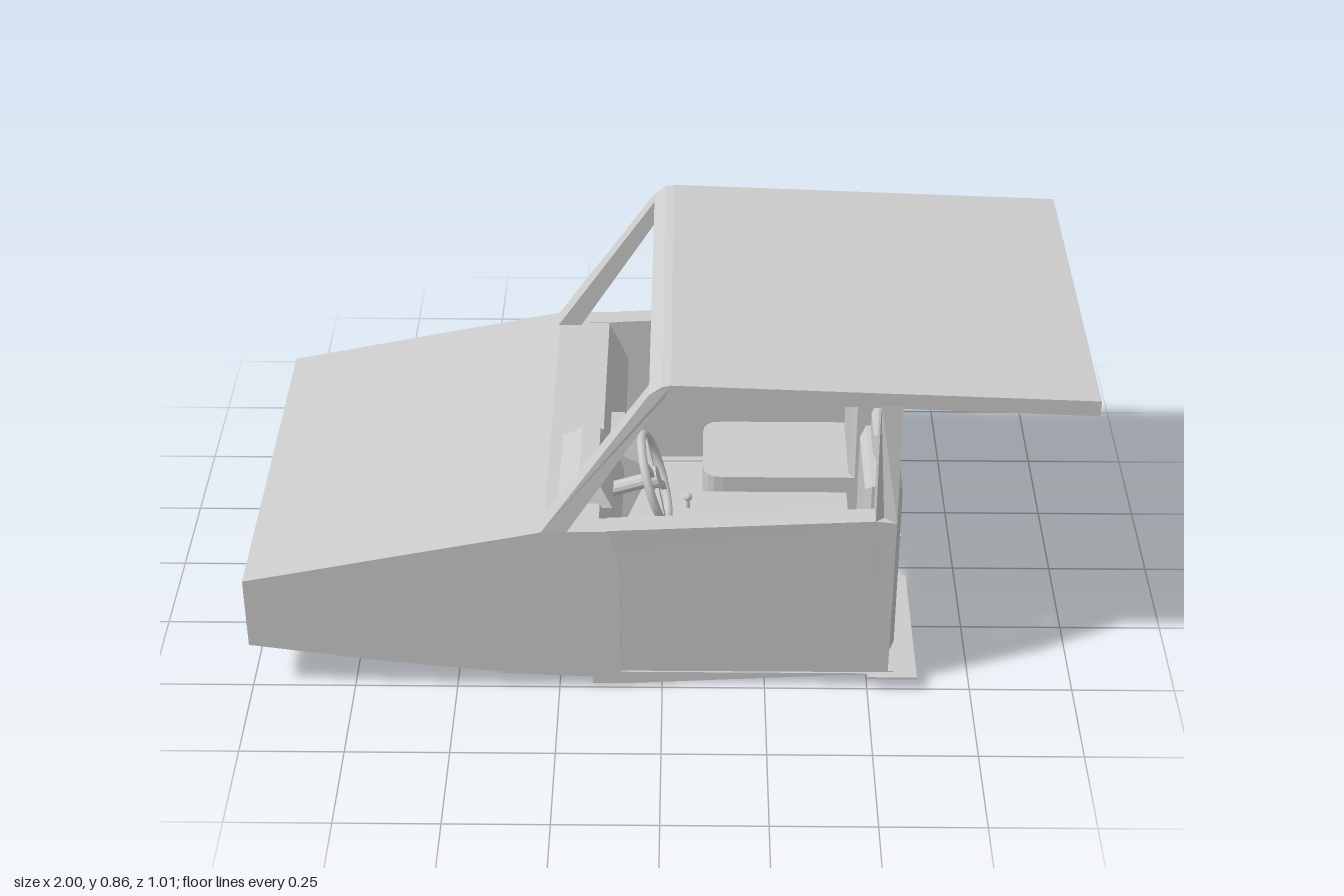
import * as THREE from 'three';

export function createModel() {
  const model = new THREE.Group();
  const mat = new THREE.MeshStandardMaterial({ color: 0xcccccc, flatShading: true, side: THREE.DoubleSide });
  const smooth = new THREE.MeshStandardMaterial({ color: 0xcccccc });

  function add(name, geo, parent = model, m = mat) {
    const mesh = new THREE.Mesh(geo, m);
    mesh.name = name;
    parent.add(mesh);
    return mesh;
  }
  // box given by its minimum and maximum corners
  function box(name, [x0, y0, z0], [x1, y1, z1], parent) {
    const mesh = add(name, new THREE.BoxGeometry(x1 - x0, y1 - y0, z1 - z0), parent);
    mesh.position.set((x0 + x1) / 2, (y0 + y1) / 2, (z0 + z1) / 2);
    return mesh;
  }
  // side profile (x, y) spanning between two z values, which may depend on y
  function prism(name, pts, zMin, zMax, parent) {
    const shape = new THREE.Shape(pts.map(p => new THREE.Vector2(...p)));
    const geo = new THREE.ExtrudeGeometry(shape, { depth: 1, bevelEnabled: false });
    const pos = geo.attributes.position;
    for (let i = 0; i < pos.count; i++) {
      const f = pos.getZ(i) < 0.5 ? zMin : zMax;
      pos.setZ(i, typeof f === 'function' ? f(pos.getY(i)) : f);
    }
    geo.computeVertexNormals();
    return add(name, geo, parent);
  }
  // same, placed on the left (s = 1) or the right (s = -1)
  function sidePrism(name, pts, inner, outer, s) {
    const out = typeof outer === 'function' ? outer : () => outer;
    return s > 0 ? prism(name, pts, inner, out) : prism(name, pts, y => -out(y), -inner);
  }
  // block with chamfered edges, w along z, h along y, d along x
  function chamferBlock(name, w, h, d, c, ct, parent) {
    const a = w / 2 - c, b = h / 2 - c;
    const shape = new THREE.Shape([[-a, -b], [a, -b], [a, b], [-a, b]].map(p => new THREE.Vector2(...p)));
    const geo = new THREE.ExtrudeGeometry(shape, {
      depth: d - 2 * ct, bevelEnabled: true, bevelSegments: 1, bevelSize: c, bevelThickness: ct });
    geo.translate(0, 0, -(d - 2 * ct) / 2).rotateY(Math.PI / 2);
    return add(name, geo, parent);
  }

  // nose: cross-sections [x, top, side bottom, belly]
  const sections = [[-1, 0.32, 0.13, 0.122], [-0.86, 0.349, 0.11, 0.09], [-0.67, 0.389, 0.083, 0.055],
    [-0.38, 0.449, 0.052, 0.043]];
  const verts = [], idx = [], N = 6;
  for (const [x, top, low, belly] of sections) {
    verts.push(x, top, 0.505, x, low, 0.505, x, belly, 0.43, x, belly, -0.43, x, low, -0.505, x, top, -0.505);
  }
  for (let i = 0; i < sections.length - 1; i++) {
    for (let j = 0; j < N; j++) {
      const a = i * N + j, b = i * N + (j + 1) % N;
      idx.push(a, b, b + N, a, b + N, a + N);
    }
  }
  const last = (sections.length - 1) * N;
  for (let j = 1; j < N - 1; j++) {
    idx.push(0, j + 1, j, last, last + j, last + j + 1);
  }
  const noseGeo = new THREE.BufferGeometry();
  noseGeo.setAttribute('position', new THREE.Float32BufferAttribute(verts, 3));
  noseGeo.setIndex(idx);
  const nose = noseGeo.toNonIndexed();
  nose.computeVertexNormals();
  add('nose', nose);

  // floor with a notch between the seats and wider tabs at the back
  const half = [[-0.39, 0.49], [0.5, 0.49], [0.5, 0.505], [0.62, 0.505], [0.62, 0.085], [0.47, 0.085]];
  const outline = [...half, ...half.map(([x, z]) => [x, -z]).reverse()];
  const floorGeo = new THREE.ExtrudeGeometry(
    new THREE.Shape(outline.map(p => new THREE.Vector2(...p))), { depth: 0.006, bevelEnabled: false });
  add('floor', floorGeo.rotateX(Math.PI / 2).translate(0, 0.043, 0));
  prism('toeBoard', [[-0.39, 0.043], [-0.28, 0.043], [-0.36, 0.12], [-0.36, 0.32], [-0.39, 0.32]], -0.45, 0.45);

  // cowl and dashboard
  prism('dashboard', [[-0.38, 0.31], [-0.11, 0.31], [-0.1, 0.36], [-0.15, 0.47], [-0.28, 0.47], [-0.38, 0.449]],
    -0.45, 0.45);
  prism('centreStack', [[-0.36, 0.19], [-0.1, 0.19], [-0.05, 0.31], [-0.06, 0.37], [-0.11, 0.4], [-0.36, 0.4]],
    -0.07, 0.07);
  for (const y of [0.402, 0.432]) box('ventTrim', [-0.14, y - 0.004, -0.07], [-0.1, y + 0.004, 0.07]);
  prism('instrumentBinnacle', [[-0.26, 0.46], [-0.12, 0.46], [-0.155, 0.52], [-0.2, 0.52]],
    y => 0.08 + Math.max(0, y - 0.46) * 0.9, y => 0.39 - Math.max(0, y - 0.46) * 0.4);
  box('centreConsole', [-0.3, 0.043, -0.07], [0.47, 0.192, 0.07]);

  // gear lever
  add('gearLever', new THREE.CylinderGeometry(0.004, 0.006, 0.03, 8), model, smooth).position.set(0.06, 0.205, 0);
  add('gearKnob', new THREE.SphereGeometry(0.011, 12, 8), model, smooth).position.set(0.06, 0.223, 0);

  // steering wheel
  const wheel = new THREE.Group();
  wheel.name = 'steeringWheel';
  wheel.position.set(-0.02, 0.462, 0.265);
  wheel.rotation.z = 0.3;
  model.add(wheel);
  add('wheelRim', new THREE.TorusGeometry(0.11, 0.011, 8, 32).rotateY(Math.PI / 2), wheel, smooth);
  add('wheelHub', new THREE.CylinderGeometry(0.028, 0.028, 0.02, 16).rotateZ(Math.PI / 2), wheel);
  for (const a of [0.6, -0.6, 2.4, -2.4]) {
    const spoke = add('wheelSpoke', new THREE.BoxGeometry(0.01, 0.1, 0.016).translate(0, 0.06, 0), wheel);
    spoke.rotation.x = a;
  }
  add('steeringColumn', new THREE.CylinderGeometry(0.018, 0.018, 0.13, 12).rotateZ(Math.PI / 2), wheel)
    .position.x = -0.065;

  // body width narrows above and below the waistline
  const bulge = y => y < 0.48
    ? 0.485 + 0.02 * Math.max(0, y - 0.04) / 0.44
    : 0.505 - 0.02 * Math.min(1, (y - 0.48) / 0.31);

  for (const s of [1, -1]) {
    sidePrism('frontFender', [[-0.38, 0.052], [-0.27, 0.043], [-0.1, 0.038], [-0.1, 0.35], [-0.107, 0.42],
      [-0.13, 0.472], [-0.28, 0.47], [-0.38, 0.449]], 0.45, 0.505, s);
    sidePrism('door', [[-0.1, 0.03], [0.55, 0.04], [0.55, 0.5], [0.5, 0.505], [-0.13, 0.474],
      [-0.107, 0.42], [-0.1, 0.35]], 0.45, bulge, s);
    sidePrism('sill', [[-0.17, 0.003], [-0.1, 0.003], [0.565, 0.04], [0.565, 0.046], [-0.17, 0.046]], 0.43, 0.485, s);
    sidePrism('rearPillar', [[0.5, 0.04], [0.55, 0.04], [0.55, 0.5], [0.55, 0.815], [0.5, 0.815], [0.5, 0.5]],
      0.43, bulge, s);
    sidePrism('windscreenPillar', [[-0.285, 0.469], [-0.225, 0.469], [0.005, 0.83], [0.02, 0.864], [-0.03, 0.84]],
      0.44, bulge, s);

    // seat
    const seat = new THREE.Group();
    seat.name = 'seat';
    seat.position.z = 0.2725 * s;
    model.add(seat);
    chamferBlock('seatBack', 0.265, 0.495, 0.09, 0.02, 0.015, seat).position.set(0.525, 0.288, 0);
    const cushion = new THREE.Shape();
    const r = 0.05, x0 = 0.1, x1 = 0.5, z = 0.1325;
    cushion.moveTo(x1, -z).lineTo(x1, z).lineTo(x0 + r, z).quadraticCurveTo(x0, z, x0, z - r)
      .lineTo(x0, r - z).quadraticCurveTo(x0, -z, x0 + r, -z);
    add('seatCushion', new THREE.ExtrudeGeometry(cushion, { depth: 0.155, bevelEnabled: false, curveSegments: 4 })
      .rotateX(Math.PI / 2).translate(0, 0.19, 0), seat);
    chamferBlock('headrest', 0.13, 0.08, 0.05, 0.016, 0.01, seat).position.set(0.525, 0.6, 0);
    for (const p of [-0.025, 0.025]) {
      box('headrestPost', [0.518, 0.52, p - 0.01], [0.532, 0.58, p + 0.01], seat);
    }
  }

  // roof slab overhanging the back
  prism('roof', [[-0.03, 0.84], [0.0, 0.828], [1, 0.79], [1, 0.83], [0.02, 0.866], [0.0, 0.862]], -0.485, 0.485);

  return model;
}
